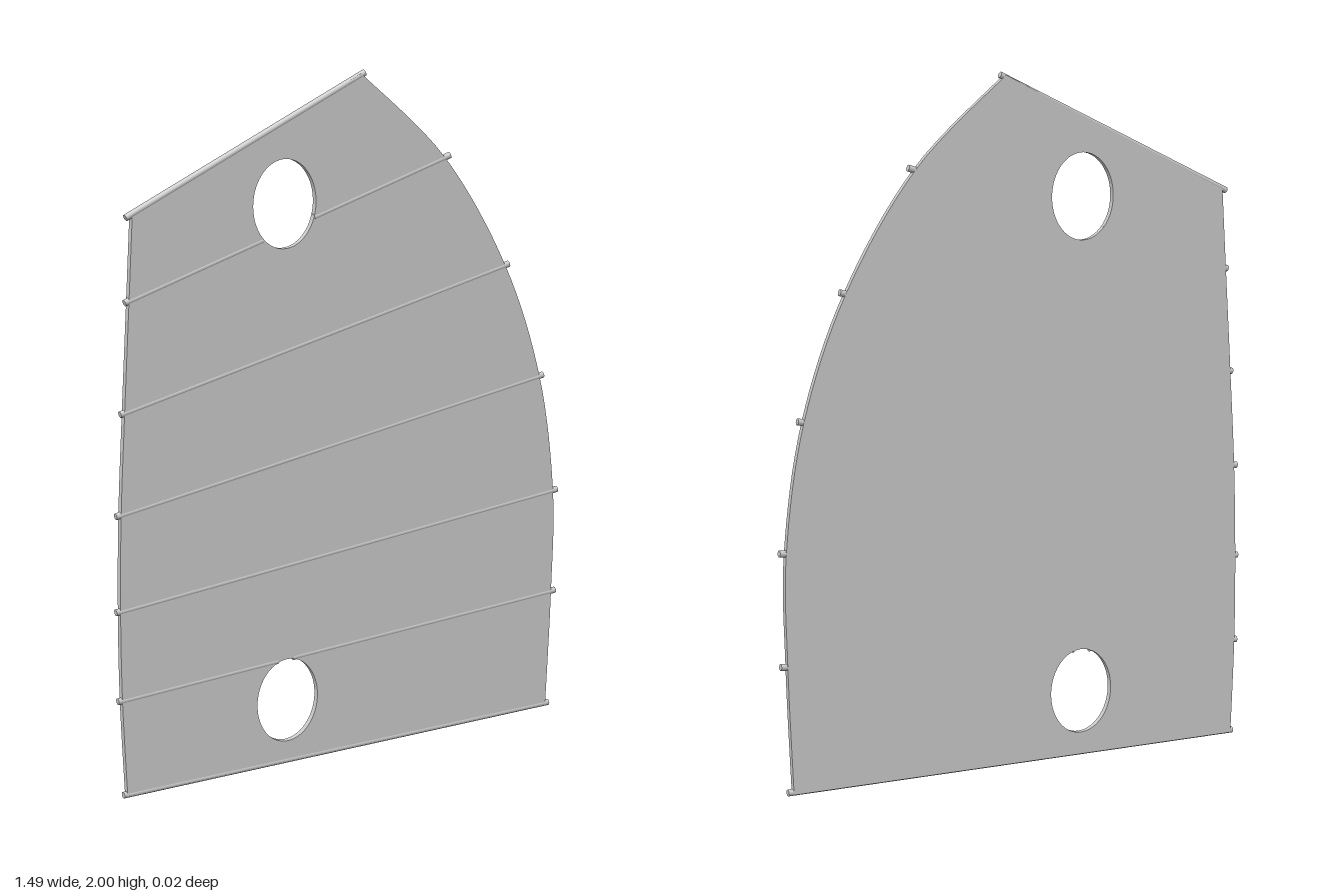
import * as THREE from 'three';

const R = 0.0095; // batten radius
const HOLES = [[-0.205, 0.195], [-0.205, 1.645]];
const RX = 0.1, RY = 0.125;

// Batten ends, bottom to top: left x, left y, right x, right y
const BATTENS = [
  [-0.735, 0.0095, 0.725, 0.0095],
  [-0.746, 0.29, 0.742, 0.37],
  [-0.746, 0.55, 0.742, 0.69],
  [-0.74, 0.825, 0.683, 1.053],
  [-0.72, 1.11, 0.553, 1.402],
  [-0.7, 1.417, 0.343, 1.738],
  [-0.692, 1.648, 0.057, 1.991],
];

// Smooth edge curve through a few points
const edge = (pts) => new THREE.SplineCurve(pts.map(([x, y]) => new THREE.Vector2(x, y))).getPoints(48);

// Pieces of a batten, as [t0, t1], left over where it crosses a hole
function pieces([x0, y0, x1, y1]) {
  for (const [cx, cy] of HOLES) {
    const rx = RX + 0.003, ry = RY + 0.003;
    const px = (x0 - cx) / rx, py = (y0 - cy) / ry;
    const dx = (x1 - x0) / rx, dy = (y1 - y0) / ry;
    const a = dx * dx + dy * dy, b = px * dx + py * dy, c = px * px + py * py - 1;
    const disc = b * b - a * c;
    if (disc > 0) {
      const s = Math.sqrt(disc);
      return [[0, (-b - s) / a], [(-b + s) / a, 1]];
    }
  }
  return [[0, 1]];
}

export function createModel() {
  const group = new THREE.Group();
  const material = new THREE.MeshStandardMaterial({ color: 0xcccccc });

  // Flat sail cloth: bowed left edge, strongly curved right edge, two oval holes
  const right = edge([[0.71, 0.004], [0.724, 0.37], [0.724, 0.69], [0.667, 1.05], [0.537, 1.4], [0.322, 1.735], [0.042, 1.99]]);
  const left = edge([[-0.675, 1.652], [-0.69, 1.417], [-0.71, 1.11], [-0.727, 0.825], [-0.735, 0.55], [-0.735, 0.29], [-0.725, 0.004]]);
  const outline = new THREE.Shape([...right, ...left]);
  for (const [x, y] of HOLES) {
    outline.holes.push(new THREE.Path().absellipse(x, y, RX, RY, 0, Math.PI * 2, true));
  }
  const clothGeometry = new THREE.ExtrudeGeometry(outline, { depth: 0.0175, bevelEnabled: false, curveSegments: 48 });
  clothGeometry.translate(0, 0, -0.0095);
  const cloth = new THREE.Mesh(clothGeometry, material);
  cloth.name = 'sailCloth';
  group.add(cloth);

  // Round battens, bedded in the cloth and standing slightly proud of its front and edges
  const up = new THREE.Vector3(0, 1, 0);
  BATTENS.forEach((ends, i) => {
    const batten = new THREE.Group();
    batten.name = i === 0 ? 'boom' : i === BATTENS.length - 1 ? 'yard' : `batten${i}`;
    const a = new THREE.Vector3(ends[0], ends[1], 0);
    const b = new THREE.Vector3(ends[2], ends[3], 0);
    for (const [t0, t1] of pieces(ends)) {
      const p = a.clone().lerp(b, t0), q = a.clone().lerp(b, t1);
      const rod = new THREE.Mesh(new THREE.CylinderGeometry(R, R, p.distanceTo(q), 16), material);
      rod.name = 'rod';
      rod.position.copy(p).add(q).multiplyScalar(0.5);
      rod.quaternion.setFromUnitVectors(up, q.sub(p).normalize());
      batten.add(rod);
    }
    group.add(batten);
  });

  return group;
}
